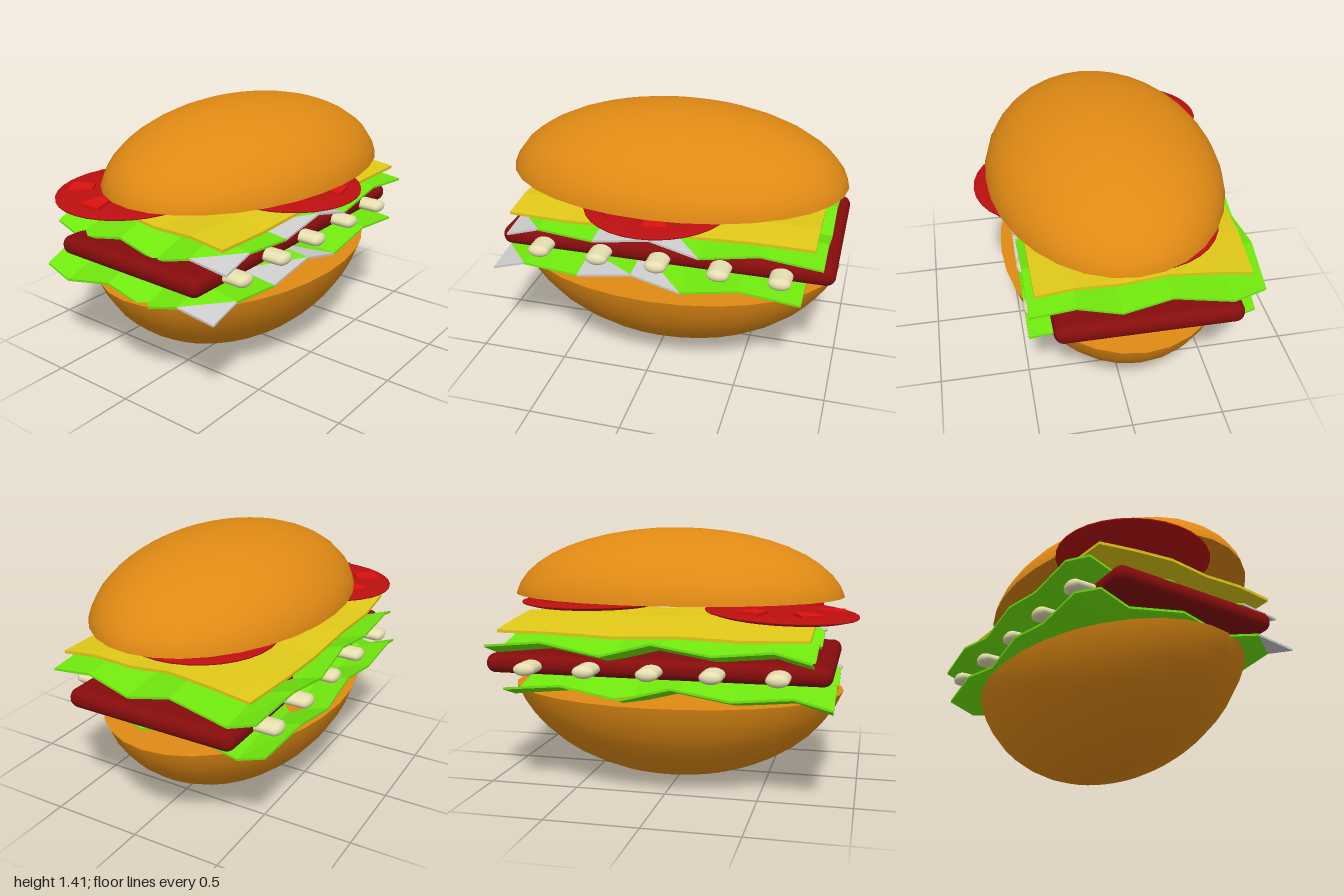
import * as THREE from 'three';
import { RoundedBoxGeometry } from 'three/addons/geometries/RoundedBoxGeometry.js';

const mat = (color, opts = {}) => new THREE.MeshStandardMaterial({ color, ...opts });
const bunMat = mat(0xe08a14);
const pattyMat = mat(0x860c0c);
const onionMat = mat(0xe6dfb0);
const sheetOpts = { flatShading: true, side: THREE.DoubleSide };
const lettuceMat = mat(0x70e80e, sheetOpts);
const paleMat = mat(0xcccccc, sheetOpts);
const cheeseMat = mat(0xe0c818, sheetOpts);
const tomatoMat = mat(0xbb0f10);
const pulpMat = mat(0xdd1010, { flatShading: true });

function add(parent, name, geometry, material, x = 0, y = 0, z = 0) {
  const mesh = new THREE.Mesh(geometry, material);
  mesh.name = name;
  mesh.position.set(x, y, z);
  parent.add(mesh);
  return mesh;
}

// Stretched dome with a flat cap; dir = 1 points up, -1 points down
function addBun(parent, name, x, y, z, height, maxAngle, dir) {
  const bun = new THREE.Group();
  bun.name = name;
  const a = THREE.MathUtils.degToRad(maxAngle);
  const scale = height / (1 - Math.cos(a));
  const dome = new THREE.SphereGeometry(1, 32, 10, 0, Math.PI * 2, 0, a);
  dome.translate(0, -Math.cos(a), 0).scale(0.645 / Math.sin(a), scale, 0.95 / Math.sin(a));
  const cap = new THREE.CircleGeometry(1, 32).rotateX(Math.PI / 2).scale(0.645, 1, 0.95);
  if (dir < 0) {
    dome.rotateX(Math.PI);
    cap.rotateX(Math.PI);
  }
  add(bun, name + 'Dome', dome, bunMat);
  add(bun, name + 'Cut', cap, bunMat);
  bun.position.set(x, y, z);
  parent.add(bun);
}

// Wavy slab: height is the sum of a wave along x and a wave along z.
// pick(i, j, half) chooses which triangles to keep.
function wavySheet(xs, zs, waveX, waveZ, thickness, pick = () => true) {
  const pos = [];
  const nx = xs.length - 1, nz = zs.length - 1;
  const point = (i, j, low) => {
    const corner = (i === 0 && (j === 0 || j === nz)) ? 0.03 : 0;
    return [xs[i] + corner, waveX[i] + waveZ[j] - low * thickness, zs[j]];
  };
  const tri = (a, b, c) => pos.push(...a, ...b, ...c);
  for (let i = 0; i < nx; i++) {
    for (let j = 0; j < nz; j++) {
      for (const low of [0, 1]) {
        const a = point(i, j, low), b = point(i + 1, j, low);
        const c = point(i + 1, j + 1, low), d = point(i, j + 1, low);
        // zs runs from front to back, so a-b-c faces up
        const halves = [[a, b, c], [a, c, d]];
        halves.forEach(([p, q, r], half) => {
          if (pick(i, j, half)) low ? tri(p, r, q) : tri(p, q, r);
        });
      }
    }
  }
  // Rim
  const wall = (i0, j0, i1, j1) => {
    const a = point(i0, j0, 1), b = point(i1, j1, 1), c = point(i1, j1, 0), d = point(i0, j0, 0);
    tri(a, b, c);
    tri(a, c, d);
  };
  for (let i = 0; i < nx; i++) {
    if (pick(i, 0, 0)) wall(i, 0, i + 1, 0);
    if (pick(i, nz - 1, 1)) wall(i + 1, nz, i, nz);
  }
  for (let j = 0; j < nz; j++) {
    if (pick(nx - 1, j, 0)) wall(nx, j, nx, j + 1);
    if (pick(0, j, 1)) wall(0, j + 1, 0, j);
  }
  const g = new THREE.BufferGeometry();
  g.setAttribute('position', new THREE.Float32BufferAttribute(pos, 3));
  g.computeVertexNormals();
  return g;
}

// Lettuce leaf with a few pale facets along its +x edge
function addLettuce(parent, name, y, z) {
  const leaf = new THREE.Group();
  leaf.name = name;
  const xs = [-0.705, -0.52, -0.2, 0.05, 0.28, 0.512];
  const zs = [0.785, 0.6, 0.29, -0.02, -0.29, -0.61, -0.935];
  const waveX = [0.83, 0.775, 0.845, 0.785, 0.855, 0.83];
  const waveZ = [-0.045, 0.01, -0.02, 0.03, -0.04, 0.02, -0.015];
  const pale = (i, j, half) => i === 4 && half === 0 && (j === 0 || j === 2 || j === 3);
  const sheet = pick => wavySheet(xs, zs, waveX, waveZ, 0.012, pick);
  add(leaf, name + 'Leaf', sheet((i, j, h) => !pale(i, j, h)), lettuceMat);
  add(leaf, name + 'Rib', sheet(pale), paleMat);
  leaf.position.set(0, y, z);
  parent.add(leaf);
}

// Thin-edged slice with six raised wedges of pulp
function addTomato(parent, name, x, y, z, tiltX, tiltZ, turn) {
  const slice = new THREE.Group();
  slice.name = name;
  const profile = [[0, -0.026], [0.25, -0.025], [0.36, -0.017], [0.405, -0.004], [0.405, 0.004],
    [0.36, 0.015], [0.25, 0.018], [0, 0.018]].map(p => new THREE.Vector2(...p));
  add(slice, name + 'Disc', new THREE.LatheGeometry(profile, 32), tomatoMat);
  const wedge = new THREE.Shape([[0.2, -0.04], [0.33, -0.065], [0.33, 0.065], [0.2, 0.04]]
    .map(p => new THREE.Vector2(...p)));
  for (let i = 0; i < 6; i++) {
    const g = new THREE.ExtrudeGeometry(wedge, { depth: 0.022, bevelEnabled: false });
    g.rotateX(-Math.PI / 2).rotateY(turn + i * Math.PI / 3);
    add(slice, name + 'Pulp', g, pulpMat, 0, 0.01, 0);
  }
  slice.position.set(x, y, z);
  slice.rotation.set(tiltX, 0, tiltZ);
  parent.add(slice);
}

export function createModel() {
  const model = new THREE.Group();
  model.name = 'sandwich';

  addBun(model, 'bottomBun', -0.063, 0.525, -0.035, 0.52, 75, -1);
  addBun(model, 'topBun', -0.01, 1.04, -0.045, 0.375, 84, 1);

  addLettuce(model, 'lowerLettuce', -0.225, 0.1);
  addLettuce(model, 'upperLettuce', 0, 0);

  // Patty
  add(model, 'patty', new RoundedBoxGeometry(0.97, 0.106, 1.87, 5, 0.05), pattyMat, -0.088, 0.692, -0.055);

  // Onion strips crossing the patty
  for (const z of [0.615, 0.28, -0.05, -0.39, -0.715]) {
    const g = new THREE.CapsuleGeometry(0.035, 1.16, 6, 16).rotateZ(Math.PI / 2).scale(1, 1, 1.75);
    add(model, 'onionStrip', g, onionMat, -0.09, 0.69, z);
  }

  // Cheese slice
  const cheese = wavySheet(
    [-0.645, -0.4, -0.17, 0.05, 0.28, 0.478], [0.77, 0.45, 0.1, -0.25, -0.55, -0.885],
    [0.885, 0.915, 0.937, 0.913, 0.922, 0.9], [0.003, -0.006, 0.006, -0.006, 0.006, 0.004], 0.016);
  add(model, 'cheese', cheese, cheeseMat);

  // Tomato slices
  addTomato(model, 'frontTomato', -0.297, 0.983, 0.59, 0.045, 0.01, 0.6);
  addTomato(model, 'sideTomato', 0.298, 0.978, -0.02, 0.01, -0.03, 0.2);
  addTomato(model, 'backTomato', -0.12, 1.0, -0.51, 0, 0, 0.4);

  return model;
}
